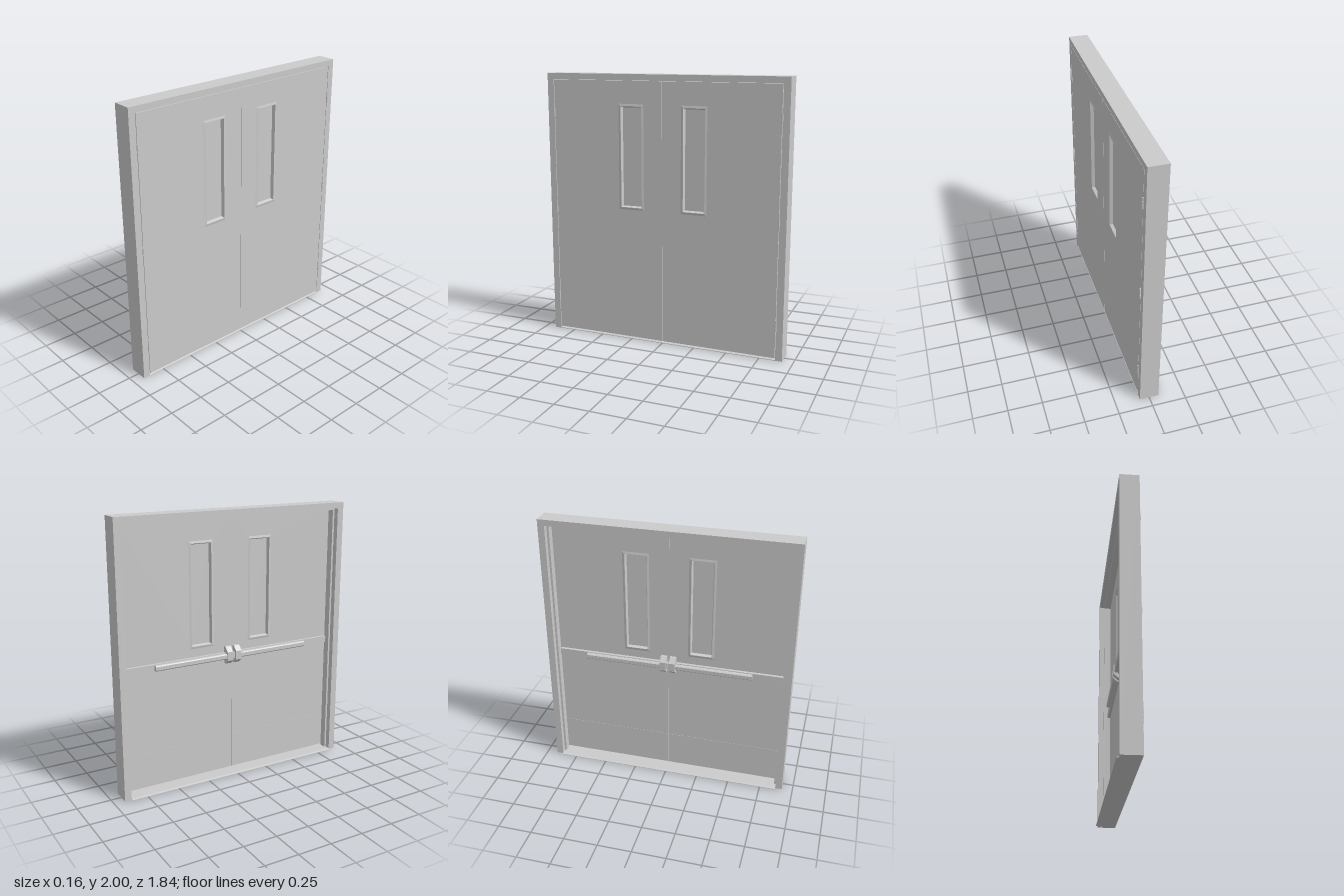
import * as THREE from 'three';

const metal = new THREE.MeshStandardMaterial({ color: 0xcccccc });
const thin = new THREE.MeshStandardMaterial({ color: 0xcccccc, side: THREE.DoubleSide });

function add(parent, name, geometry, material = metal) {
  const mesh = new THREE.Mesh(geometry, material);
  mesh.name = name;
  parent.add(mesh);
  return mesh;
}

// Box given by its limits on each axis
function block(parent, name, [x0, x1], [y0, y1], [z0, z1]) {
  const g = new THREE.BoxGeometry(x1 - x0, y1 - y0, z1 - z0);
  g.translate((x0 + x1) / 2, (y0 + y1) / 2, (z0 + z1) / 2);
  return add(parent, name, g);
}

// Outline in (z, y), extruded along x from x0 to x1
function slab(points, x0, x1, holePoints) {
  const toPath = (p) => p.map(([z, y]) => new THREE.Vector2(-z, y));
  const shape = new THREE.Shape(toPath(points));
  if (holePoints) shape.holes.push(new THREE.Path(toPath(holePoints)));
  const g = new THREE.ExtrudeGeometry(shape, { depth: x1 - x0, bevelEnabled: false });
  return g.rotateY(Math.PI / 2).translate(x0, 0, 0);
}

// Profile in (x, y), extruded along z from z0 to z1
function rail(points, z0, z1) {
  const shape = new THREE.Shape(points.map(([x, y]) => new THREE.Vector2(x, y)));
  return new THREE.ExtrudeGeometry(shape, { depth: z1 - z0, bevelEnabled: false }).translate(0, 0, z0);
}

const rect = ([z0, z1], [y0, y1]) => [[z0, y0], [z1, y0], [z1, y1], [z0, y1]];

// Upside-down U for the frame and the stop
const arch = (zOut, yOut, zIn, yIn) => [
  [-zOut, 0], [-zIn, 0], [-zIn, yIn], [zIn, yIn], [zIn, 0], [zOut, 0], [zOut, yOut], [-zOut, yOut],
];

// Mitred moulding: a section of [inset, x] points swept around a rectangle
function moulding(section, [z0, z1], [y0, y1]) {
  const pos = [];
  const ring = ([d, x]) => rect([z0 + d, z1 - d], [y0 + d, y1 - d]).map(([z, y]) => [x, y, z]);
  for (let i = 0; i < section.length - 1; i++) {
    const a = ring(section[i]), b = ring(section[i + 1]);
    for (let j = 0; j < 4; j++) {
      const k = (j + 1) % 4;
      pos.push(...a[j], ...b[j], ...b[k], ...a[j], ...b[k], ...a[k]);
    }
  }
  const g = new THREE.BufferGeometry();
  g.setAttribute('position', new THREE.Float32BufferAttribute(pos, 3));
  // Make the faces point out of the leaf, whichever side the section is on
  g.computeVertexNormals();
  const outward = Math.sign(section[0][1] - 0.047);
  if (Math.sign(g.attributes.normal.getX(0)) !== outward) {
    const p = g.attributes.position;
    for (let t = 0; t < p.count; t += 3) {
      const b = [p.getX(t + 1), p.getY(t + 1), p.getZ(t + 1)];
      p.setXYZ(t + 1, p.getX(t + 2), p.getY(t + 2), p.getZ(t + 2));
      p.setXYZ(t + 2, ...b);
    }
    g.computeVertexNormals();
  }
  return g;
}

const BACK = 0.024, FRONT = 0.07, MID = 0.047; // leaf faces and glass plane

function buildLeaf(s) {
  const leaf = new THREE.Group();
  leaf.name = s > 0 ? 'doorLeafA' : 'doorLeafB';
  const span = (a, b) => (s > 0 ? [a, b] : [-b, -a]);
  const winZ = span(0.16, 0.324), winY = [1.027, 1.772];

  // Leaf with its window opening, glass and mouldings on both faces
  add(leaf, 'leafPanel', slab(rect(span(0.0015, 0.866), [0.018, 1.953]), BACK, FRONT, rect(winZ, winY)));
  block(leaf, 'windowGlass', [MID - 0.003, MID + 0.003], winY, winZ);
  const section = [[-0.016, FRONT], [-0.001, 0.0735], [0.002, 0.0735], [0.01, 0.05]];
  add(leaf, 'windowTrimFront', moulding(section, winZ, winY), thin);
  add(leaf, 'windowTrimBack', moulding(section.map(([d, x]) => [d, 2 * MID - x]), winZ, winY), thin);

  // Kick plate
  block(leaf, 'kickPlate', [BACK - 0.0015, BACK], [0.02, 0.29], span(0.004, 0.85));

  // Panic bar: rail, chamfered push pad and end cap
  block(leaf, 'panicRail', [0.002, BACK], [0.9, 0.95], span(0.04, 0.85));
  const pad = [[0.002, 0.905], [0.002, 0.945], [-0.018, 0.945], [-0.025, 0.938], [-0.025, 0.912], [-0.018, 0.905]];
  add(leaf, 'pushPad', rail(pad, ...span(0.06, 0.63)));

  // Latch housing, tapering towards its top and bottom
  const housing = [[BACK, 0.865], [BACK, 0.995], [0.004, 0.995], [-0.03, 0.96], [-0.03, 0.895], [0.004, 0.865]];
  add(leaf, 'latchHousing', rail(housing, ...span(0.012, 0.058)));
  block(leaf, 'latchBolt', [-0.012, 0.014], [0.905, 0.95], span(0.002, 0.012));

  // Three hinges with knuckle joints
  for (const y of [0.262, 0.99, 1.715]) {
    const hinge = new THREE.Group();
    hinge.name = 'hinge';
    for (let i = -1; i <= 1; i++) {
      const g = new THREE.CylinderGeometry(0.006, 0.006, 0.027, 12);
      g.translate(0.074, y + i * 0.028, s * 0.868);
      add(hinge, 'hingeKnuckle', g);
    }
    const pin = new THREE.CylinderGeometry(0.004, 0.004, 0.084, 10);
    add(hinge, 'hingePin', pin.translate(0.074, y, s * 0.868));
    leaf.add(hinge);
  }
  return leaf;
}

export function createModel() {
  const door = new THREE.Group();
  door.name = 'doubleDoor';

  // Frame with a stop between its two rebates
  add(door, 'frame', slab(arch(0.92, 2, 0.87, 1.956), -0.07, 0.07));
  add(door, 'frameStop', slab(arch(0.87, 1.956, 0.855, 1.941), -0.03, BACK - 0.001));

  // Threshold with sloped edges
  const sill = [[-0.085, 0], [0.07, 0], [0.07, 0.004], [0.06, 0.008], [-0.07, 0.008], [-0.085, 0.003]];
  add(door, 'threshold', rail(sill, -0.869, 0.869));

  for (const s of [1, -1]) door.add(buildLeaf(s));

  // Bolts bridging the gap between the leaves and at the head
  block(door, 'lockBolt', [0.035, 0.068], [0.925, 0.952], [-0.003, 0.003]);
  block(door, 'headBolt', [0.035, 0.06], [1.942, 1.956], [-0.003, 0.003]);
  return door;
}
